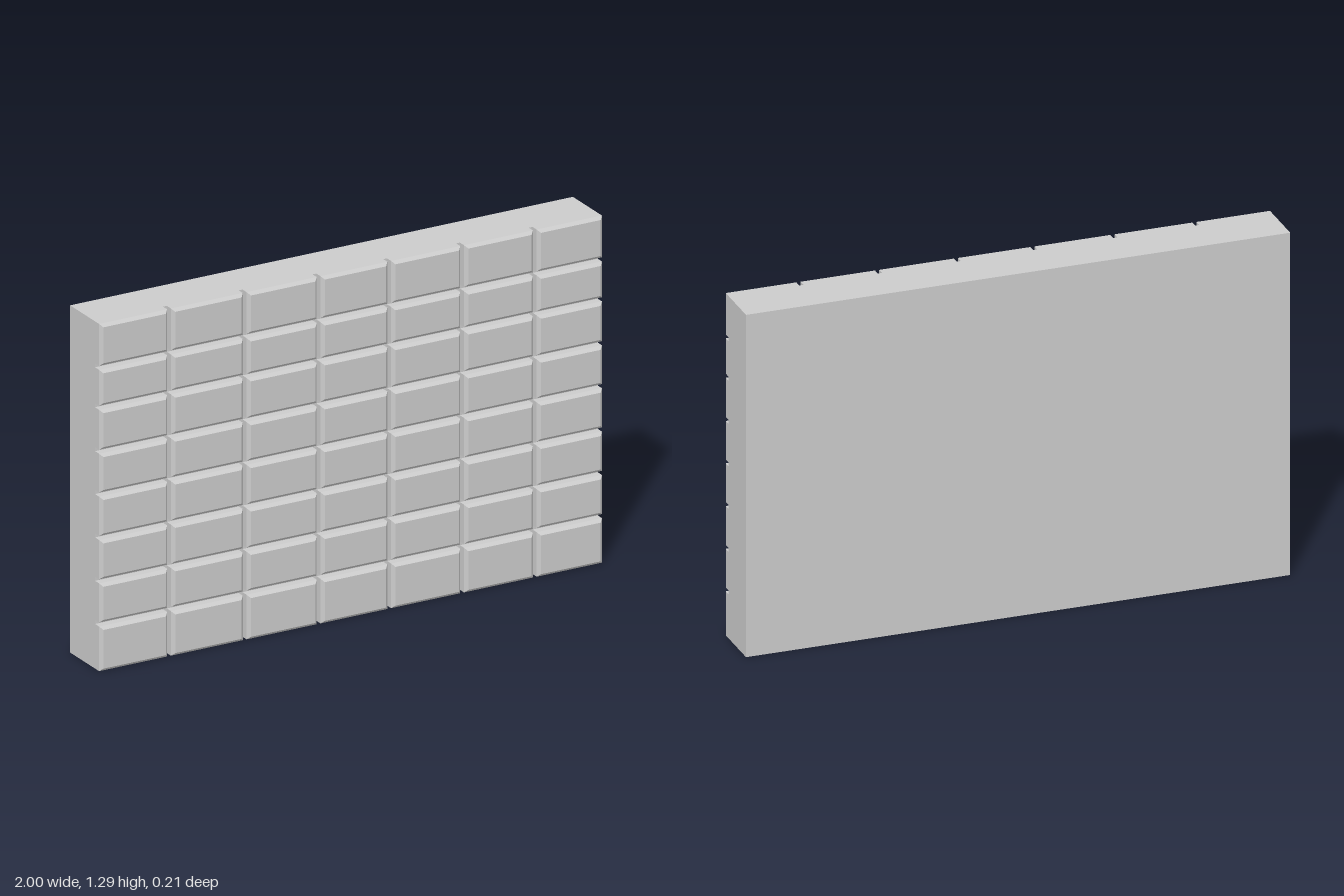
import * as THREE from 'three';

const HEIGHT = 1.288, BACK = -0.105, FLOOR = 0.066, FRONT = 0.105;
const GAP = 0.015, CHAMFER = 0.011;

// centre lines of the mortar joints
const JOINTS_X = [-0.722, -0.421, -0.127, 0.154, 0.444, 0.733];
const JOINTS_Y = [0.173, 0.333, 0.494, 0.655, 0.814, 0.977, 1.125];

// turns joint lines into [start, end] spans between them
function spans(min, max, joints) {
  const starts = [min, ...joints.map(j => j + GAP / 2)];
  const ends = [...joints.map(j => j - GAP / 2), max];
  return starts.map((s, i) => [s, ends[i]]);
}

// block whose front edges are chamfered
function brickGeometry(w, h) {
  const box = new THREE.BoxGeometry(w, h, 2, 1, 1, 2);
  const p = box.attributes.position;
  for (let i = 0; i < p.count; i++) {
    const z = p.getZ(i);
    if (z > 0.5) {
      p.setX(i, p.getX(i) - Math.sign(p.getX(i)) * CHAMFER);
      p.setY(i, p.getY(i) - Math.sign(p.getY(i)) * CHAMFER);
      p.setZ(i, FRONT);
    } else {
      p.setZ(i, z < -0.5 ? FLOOR : FRONT - CHAMFER);
    }
  }
  const geo = box.toNonIndexed();
  geo.computeVertexNormals();
  return geo;
}

export function createModel() {
  const model = new THREE.Group();
  model.name = 'brickWall';
  const material = new THREE.MeshStandardMaterial({ color: 0xcccccc, flatShading: true });

  // solid slab behind the bricks
  const slab = new THREE.Mesh(new THREE.BoxGeometry(2, HEIGHT, FLOOR - BACK), material);
  slab.name = 'backSlab';
  slab.position.set(0, HEIGHT / 2, (FLOOR + BACK) / 2);
  model.add(slab);

  // grid of bricks on the front
  const bricks = new THREE.Group();
  bricks.name = 'bricks';
  spans(0, HEIGHT, JOINTS_Y).forEach(([y0, y1], row) => {
    spans(-1, 1, JOINTS_X).forEach(([x0, x1], col) => {
      const brick = new THREE.Mesh(brickGeometry(x1 - x0, y1 - y0), material);
      brick.name = `brickRow${row + 1}Column${col + 1}`;
      brick.position.set((x0 + x1) / 2, (y0 + y1) / 2, 0);
      bricks.add(brick);
    });
  });
  model.add(bricks);
  return model;
}
